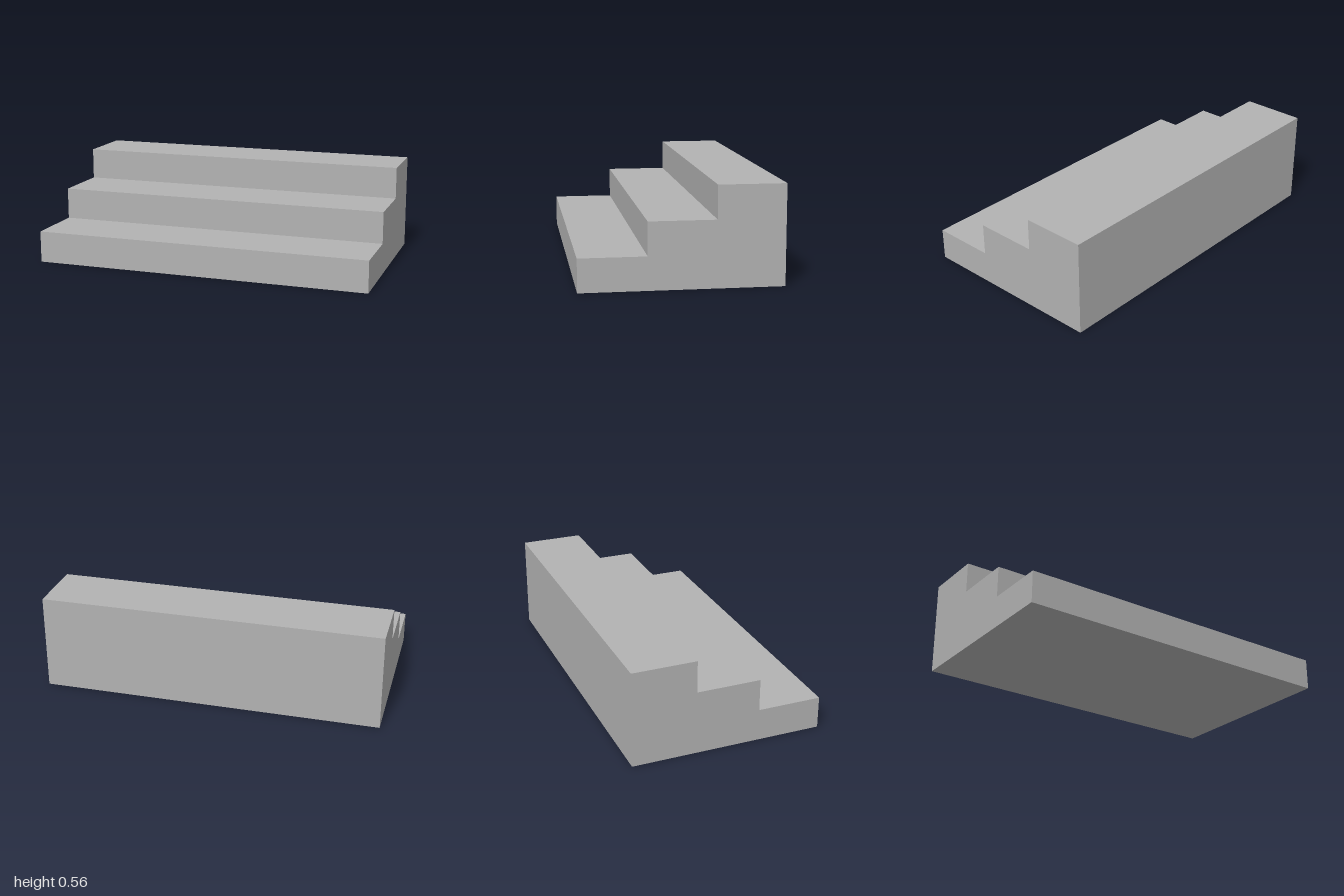
import * as THREE from 'three';

const WIDTH = 2, STEPS = 3, TREAD = 0.375, RISE = 0.1875;

export function createModel() {
  const group = new THREE.Group();
  group.name = 'stairs';
  const stone = new THREE.MeshStandardMaterial({ color: 0xb2b2b2 });
  stone.name = 'grey stone';

  // Side profile: shape x becomes z, climbing from the front to the back
  const half = (STEPS * TREAD) / 2;
  const profile = new THREE.Shape();
  profile.moveTo(-half, 0);
  profile.lineTo(half, 0);
  for (let i = 0; i < STEPS; i++) {
    const z = half - i * TREAD, y = (i + 1) * RISE;
    profile.lineTo(z, y); // riser
    profile.lineTo(z - TREAD, y); // tread
  }
  profile.closePath();

  // Solid flight, extruded across the width
  const geometry = new THREE.ExtrudeGeometry(profile, { depth: WIDTH, bevelEnabled: false });
  geometry.translate(0, 0, -WIDTH / 2);
  geometry.rotateY(-Math.PI / 2);
  const flight = new THREE.Mesh(geometry, stone);
  flight.name = 'stepFlight';
  group.add(flight);
  return group;
}
